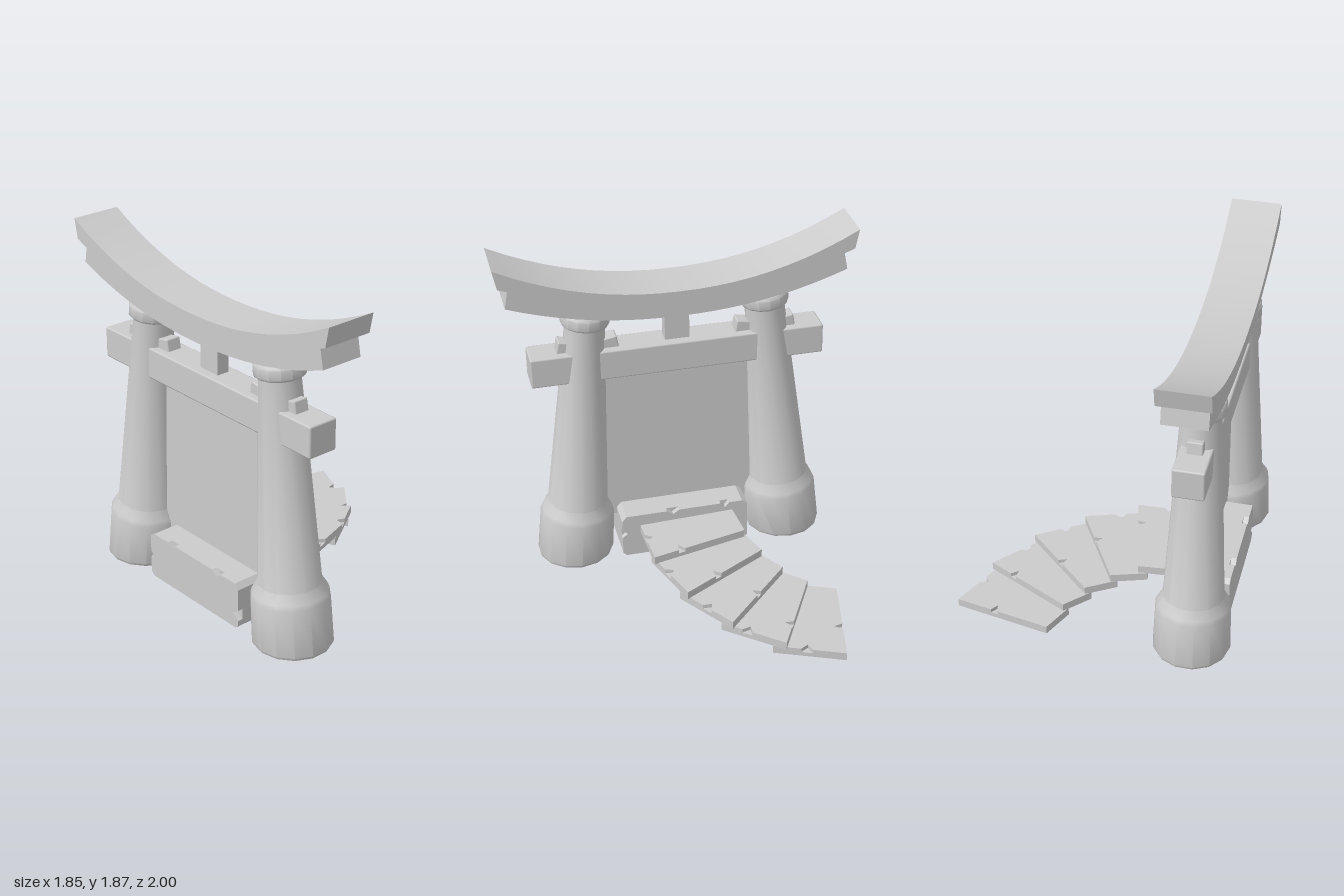
import * as THREE from 'three';
import { toCreasedNormals } from 'three/addons/utils/BufferGeometryUtils.js';
import { RoundedBoxGeometry } from 'three/addons/geometries/RoundedBoxGeometry.js';

const stone = new THREE.MeshStandardMaterial({ color: 0xcccccc });
const stoneOpen = new THREE.MeshStandardMaterial({ color: 0xcccccc, side: THREE.DoubleSide });

function add(parent, name, geometry, x = 0, y = 0, z = 0, material = stone) {
  const mesh = new THREE.Mesh(geometry, material);
  mesh.name = name;
  mesh.position.set(x, y, z);
  parent.add(mesh);
  return mesh;
}

// Outline with V-shaped chips; each chip is [edge, position, half width, depth]
function chippedShape(corners, chips = []) {
  const pts = corners.map(([x, y]) => new THREE.Vector2(x, y));
  const centre = pts.reduce((s, p) => s.add(p), new THREE.Vector2()).divideScalar(pts.length);
  const out = [];
  pts.forEach((a, i) => {
    const b = pts[(i + 1) % pts.length];
    const dir = b.clone().sub(a).normalize();
    const inward = new THREE.Vector2(-dir.y, dir.x);
    if (inward.dot(centre.clone().sub(a)) < 0) inward.negate();
    out.push(a);
    for (const [edge, t, w, d] of chips) {
      if (edge !== i) continue;
      const m = a.clone().lerp(b, t);
      out.push(m.clone().addScaledVector(dir, -w));
      out.push(m.clone().addScaledVector(inward, d));
      out.push(m.clone().addScaledVector(dir, w));
    }
  });
  return new THREE.Shape(out);
}

const extrude = (shape, depth) =>
  new THREE.ExtrudeGeometry(shape, { depth, bevelEnabled: false });

// Beam that sweeps upward towards both ends
function curvedBeam(half, depth, top, bottom) {
  const n = 20, pts = [];
  const edge = ({ end, mid, rise }, s) => pts.push(
    new THREE.Vector2(s * end, mid + rise * Math.pow(Math.abs(s), 2.15)));
  for (let i = 0; i <= n; i++) edge(bottom, -1 + 2 * i / n);
  for (let i = n; i >= 0; i--) edge(top, -1 + 2 * i / n);
  const g = extrude(new THREE.Shape(pts), depth);
  g.translate(0, 0, -depth / 2);
  return toCreasedNormals(g, 0.5);
}

// Tapered column with plinth and collar, leaning inward, cut level at the ground
function pillarGeometry(side) {
  const profile = [
    [0.205, 0], [0.212, 0.015], [0.205, 0.27], [0.196, 0.295], [0.166, 0.345], [0.106, 1.44],
    [0.124, 1.445], [0.131, 1.455], [0.131, 1.505], [0.122, 1.52], [0, 1.52],
  ].map(([r, y]) => new THREE.Vector2(r, y));
  const g = new THREE.LatheGeometry(profile, 14);
  const p = g.attributes.position;
  for (let i = 0; i < p.count; i++) {
    const x = p.getX(i), y = p.getY(i);
    p.setX(i, x + side * (0.605 - 0.08 * y));
    p.setY(i, y < 0.02 ? y + 0.01 : y + side * 0.08 * x);
  }
  return toCreasedNormals(g, 0.6);
}

function buildGate() {
  const gate = new THREE.Group();
  gate.name = 'gate';

  // Roof slab and the beam beneath it
  add(gate, 'roofSlab', curvedBeam(0.965, 0.275,
    { end: 0.967, mid: 1.635, rise: 0.237 }, { end: 0.945, mid: 1.59, rise: 0.175 }));
  add(gate, 'roofBeam', curvedBeam(0.91, 0.235,
    { end: 0.892, mid: 1.592, rise: 0.155 }, { end: 0.912, mid: 1.48, rise: 0.16 }));

  // Crossbeam and centre strut
  add(gate, 'crossbeam', new RoundedBoxGeometry(1.6, 0.17, 0.17, 1, 0.01), 0, 1.215, 0);
  add(gate, 'centreStrut', new THREE.BoxGeometry(0.134, 0.24, 0.07), 0, 1.4, 0);

  // Pillars with the wedges that lock the crossbeam
  for (const side of [-1, 1]) {
    add(gate, 'pillar', pillarGeometry(side), 0, 0, 0, stoneOpen);
    for (const [x, tilt] of [[0.375, -0.18], [0.595, 0.18]]) {
      const wedge = add(gate, 'wedge', new RoundedBoxGeometry(0.11, 0.09, 0.085, 1, 0.008),
        side * x, 1.31, 0);
      wedge.rotation.z = side * tilt;
    }
  }

  // Thin panel filling the opening
  add(gate, 'panel', new THREE.PlaneGeometry(0.96, 0.98), 0, 0.69, 0, stoneOpen);

  // Threshold block: plain core with chipped front and back faces
  const block = new THREE.Group();
  block.name = 'threshold';
  gate.add(block);
  const w = 0.36, h = 0.27;
  const outline = [[-w, 0.03], [-w + 0.025, 0.01], [w - 0.02, 0.01], [w, 0.03],
    [w, h - 0.03], [w - 0.025, h], [-w + 0.03, h], [-w, h - 0.02]];
  const frontChips = [[3, 0.28, 0.03, 0.045], [5, 0.22, 0.035, 0.025], [5, 0.78, 0.03, 0.03],
    [7, 0.5, 0.02, 0.015]];
  const backChips = [[3, 0.6, 0.025, 0.03], [5, 0.4, 0.035, 0.025], [5, 0.85, 0.025, 0.03]];
  add(block, 'thresholdCore', extrude(chippedShape(outline), 0.25), 0, 0, -0.125);
  add(block, 'thresholdFront', extrude(chippedShape(outline, frontChips), 0.03), 0, 0, 0.125);
  add(block, 'thresholdBack', extrude(chippedShape(outline, backChips), 0.03), 0, 0, -0.155);

  gate.position.z = 0.445;
  gate.rotation.y = -0.467;
  return gate;
}

function buildStairs() {
  const stairs = new THREE.Group();
  stairs.name = 'stairs';
  // Seams between steps, as [x, z] on the inner and outer side of the curve
  const inner = [[-0.17, 0.18], [-0.09, -0.015], [-0.08, -0.17], [-0.1, -0.32],
    [-0.16, -0.455], [-0.27, -0.57]];
  const outer = [[0.317, 0.4], [0.445, 0.115], [0.47, -0.195], [0.42, -0.5],
    [0.285, -0.77], [0.07, -1]];
  const back = (line, i) => {
    const [x, z] = line[i], [px, pz] = line[Math.max(i - 1, 0)];
    return [x + (px - x) * 0.25, z + (pz - z) * 0.25];
  };
  for (let i = 0; i < 5; i++) {
    // Each lower step tucks under the one above it
    const corners = [back(inner, i), back(outer, i), outer[i + 1], inner[i + 1]]
      .map(([x, z]) => [x, -z]);
    const chips = [[1, 0.4 + 0.06 * (i % 3), 0.03, 0.04], [2, 0.3 + 0.11 * (i % 3), 0.02, 0.045]];
    const y = 0.176 - 0.044 * i;
    const step = new THREE.Group();
    step.name = 'step';
    const layer = (name, list, depth, base) => {
      const g = extrude(chippedShape(corners, list), depth);
      g.rotateX(-Math.PI / 2);
      add(step, name, g, 0, base, 0);
    };
    layer('stepBase', [], 0.024, y);
    layer('stepTread', chips, 0.022, y + 0.024);
    stairs.add(step);
  }
  return stairs;
}

export function createModel() {
  const model = new THREE.Group();
  model.name = 'gateWithStairs';
  model.add(buildGate(), buildStairs());
  return model;
}
